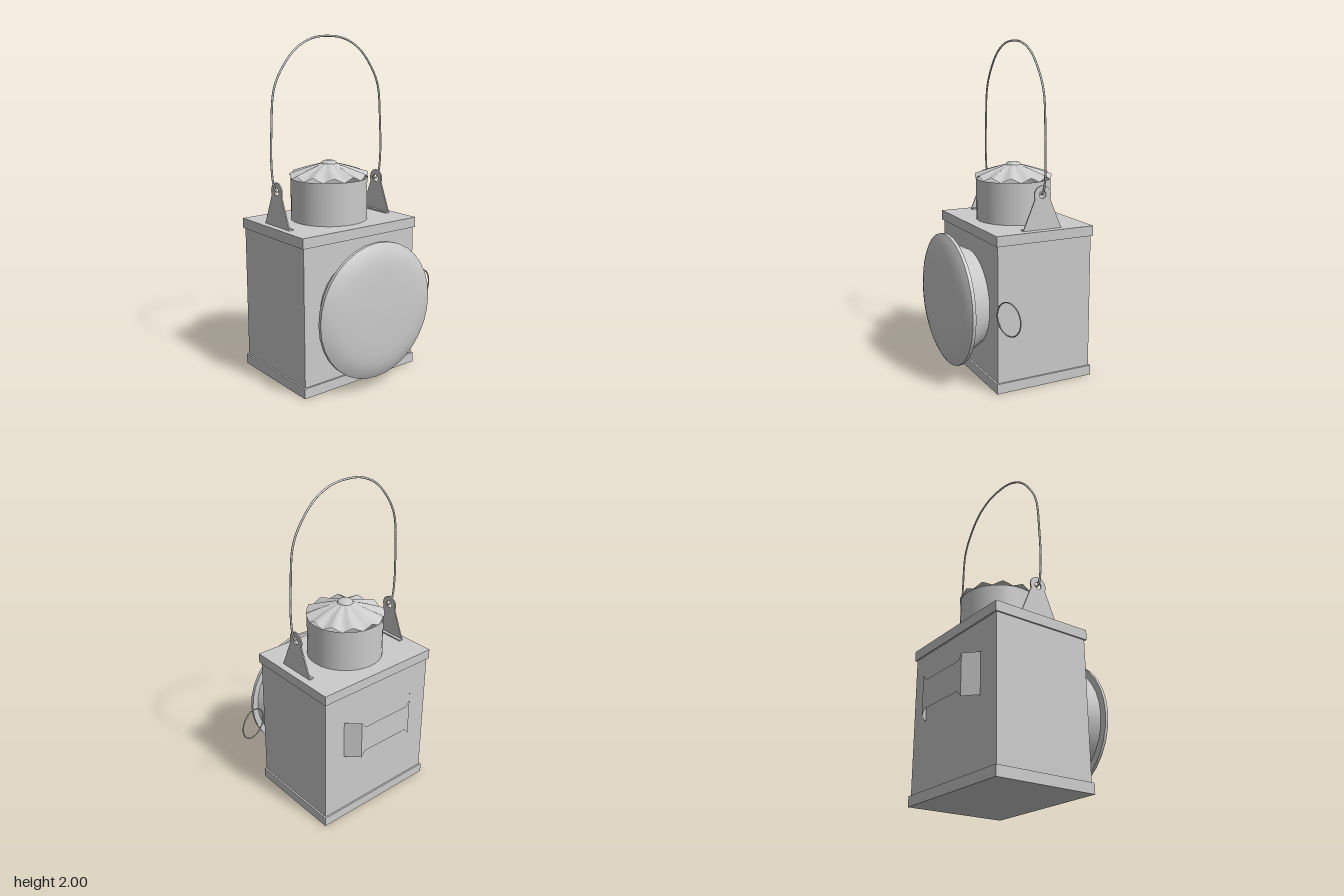
import * as THREE from 'three';

const CX = -0.06, CZ = 0.09; // vertical axis of the lamp
const grey = new THREE.MeshStandardMaterial({ color: 0xcccccc });
const sheet = new THREE.MeshStandardMaterial({ color: 0xcccccc, side: THREE.DoubleSide });
const sheetFlat = new THREE.MeshStandardMaterial({ color: 0xcccccc, side: THREE.DoubleSide, flatShading: true });

export function createModel() {
  const model = new THREE.Group();
  model.name = 'signalLamp';
  const add = (name, geometry, material = grey, parent = model) => {
    const mesh = new THREE.Mesh(geometry, material);
    mesh.name = name;
    parent.add(mesh);
    return mesh;
  };
  const box = (name, w, h, d, x, y, z, parent) =>
    add(name, new THREE.BoxGeometry(w, h, d), grey, parent).position.set(x, y, z);
  const lathe = (points, segments) =>
    new THREE.LatheGeometry(points.map(p => new THREE.Vector2(...p)), segments);

  // Case with a band round its foot and its top
  box('body', 0.605, 0.85, 0.805, -0.0625, 0.465, 0.0875);
  box('baseBand', 0.625, 0.06, 0.825, -0.0625, 0.03, 0.0875);
  box('topBand', 0.625, 0.06, 0.825, -0.0625, 0.9, 0.0875);

  // Chimney, open at the top
  add('chimney', new THREE.CylinderGeometry(0.228, 0.228, 0.25, 32, 1, true), sheet)
    .position.set(CX, 1.055, CZ);

  // Pleated cap: the rim rises and falls, the pleats fade towards the middle
  const cap = lathe([[0.233, 1.193], [0.14, 1.23], [0.048, 1.262]], 48);
  const p = cap.attributes.position;
  for (let i = 0; i < p.count; i++) {
    const r = Math.hypot(p.getX(i), p.getZ(i));
    const wave = Math.cos(12 * Math.atan2(p.getX(i), p.getZ(i)));
    p.setY(i, p.getY(i) + 0.014 * wave * (r - 0.048) / 0.185);
  }
  cap.computeVertexNormals();
  add('chimneyCap', cap, sheet).position.set(CX, 0, CZ);
  add('capKnob', lathe([[0.048, 1.255], [0.046, 1.268], [0.034, 1.277], [0, 1.28]], 24))
    .position.set(CX, 0, CZ);

  // Lens assembly on the left side, turned about the x axis
  const lens = new THREE.Group();
  lens.name = 'lens';
  lens.rotation.z = -Math.PI / 2;
  lens.position.set(0, 0.47, CZ);
  model.add(lens);
  add('lensFunnel', lathe([[0.295, 0.24], [0.365, 0.375]], 32), sheet, lens);
  add('lensRimBack', lathe([[0.35, 0.37], [0.4, 0.37]], 32), sheet, lens);
  add('lensRim', lathe([[0.4, 0.37], [0.4, 0.39]], 32), sheet, lens);
  add('lensGlass', lathe([[0.4, 0.39], [0.375, 0.404], [0.34, 0.418], [0.3, 0.428],
    [0.24, 0.435], [0.15, 0.439], [0, 0.44]], 32), sheet, lens);

  // Pull ring on the back, swung a little sideways
  const ring = add('pullRing', new THREE.TorusGeometry(0.097, 0.004, 8, 40));
  ring.position.set(0.22, 0.475, -0.413);
  ring.rotation.y = Math.atan2(-0.18, 0.05);

  // Eye brackets that carry the bail
  const eye = new THREE.Shape();
  eye.moveTo(-0.123, 0);
  eye.lineTo(0.123, 0);
  eye.lineTo(0.048, 0.18);
  eye.absarc(0, 0.203, 0.053, -0.45, Math.PI + 0.45, false);
  eye.closePath();
  eye.holes.push(new THREE.Path().absarc(0, 0.203, 0.022, 0, Math.PI * 2, true));
  const eyeGeometry = new THREE.ExtrudeGeometry(eye, { depth: 0.008, bevelEnabled: false, curveSegments: 16 });
  for (const side of [1, -1]) {
    const bracket = new THREE.Group();
    bracket.name = side > 0 ? 'frontBracket' : 'backBracket';
    bracket.position.set(CX, 0.93, CZ + side * 0.368);
    model.add(bracket);
    add('bracketEye', eyeGeometry, grey, bracket).position.z = -0.004;
    box('bracketFoot', 0.246, 0.008, 0.028, 0, 0.004, -side * 0.01, bracket);
  }

  // Wire bail with a hook at each end
  const half = [[0.342, 1.15], [0.352, 1.133], [0.372, 1.135], [0.39, 1.18], [0.401, 1.3],
    [0.396, 1.48], [0.376, 1.7], [0.325, 1.81], [0.225, 1.925], [0.11, 1.982]];
  const wire = [...half, [0, 1.994], ...half.map(([z, y]) => [-z, y]).reverse()]
    .map(([z, y]) => new THREE.Vector3(CX, y, CZ + z));
  add('bailHandle', new THREE.TubeGeometry(new THREE.CatmullRomCurve3(wire), 120, 0.006, 8));

  // Strap handle on the right side: stations of x, z and half height
  const stations = [[-0.367, -0.2, 0.12], [-0.37, -0.18, 0.12], [-0.44, -0.105, 0.12],
    [-0.44, -0.075, 0.085], [-0.44, 0.25, 0.085], [-0.44, 0.28, 0.12],
    [-0.37, 0.355, 0.12], [-0.367, 0.375, 0.12]];
  const corners = [], faces = [];
  stations.forEach(([x, z, h], i) => {
    corners.push(x, 0.57 - h, z, x, 0.57 + h, z);
    const a = 2 * i;
    if (i) faces.push(a - 2, a, a - 1, a - 1, a, a + 1);
  });
  const strap = new THREE.BufferGeometry();
  strap.setAttribute('position', new THREE.Float32BufferAttribute(corners, 3));
  strap.setIndex(faces);
  strap.computeVertexNormals();
  add('strapHandle', strap, sheetFlat);

  return model;
}
